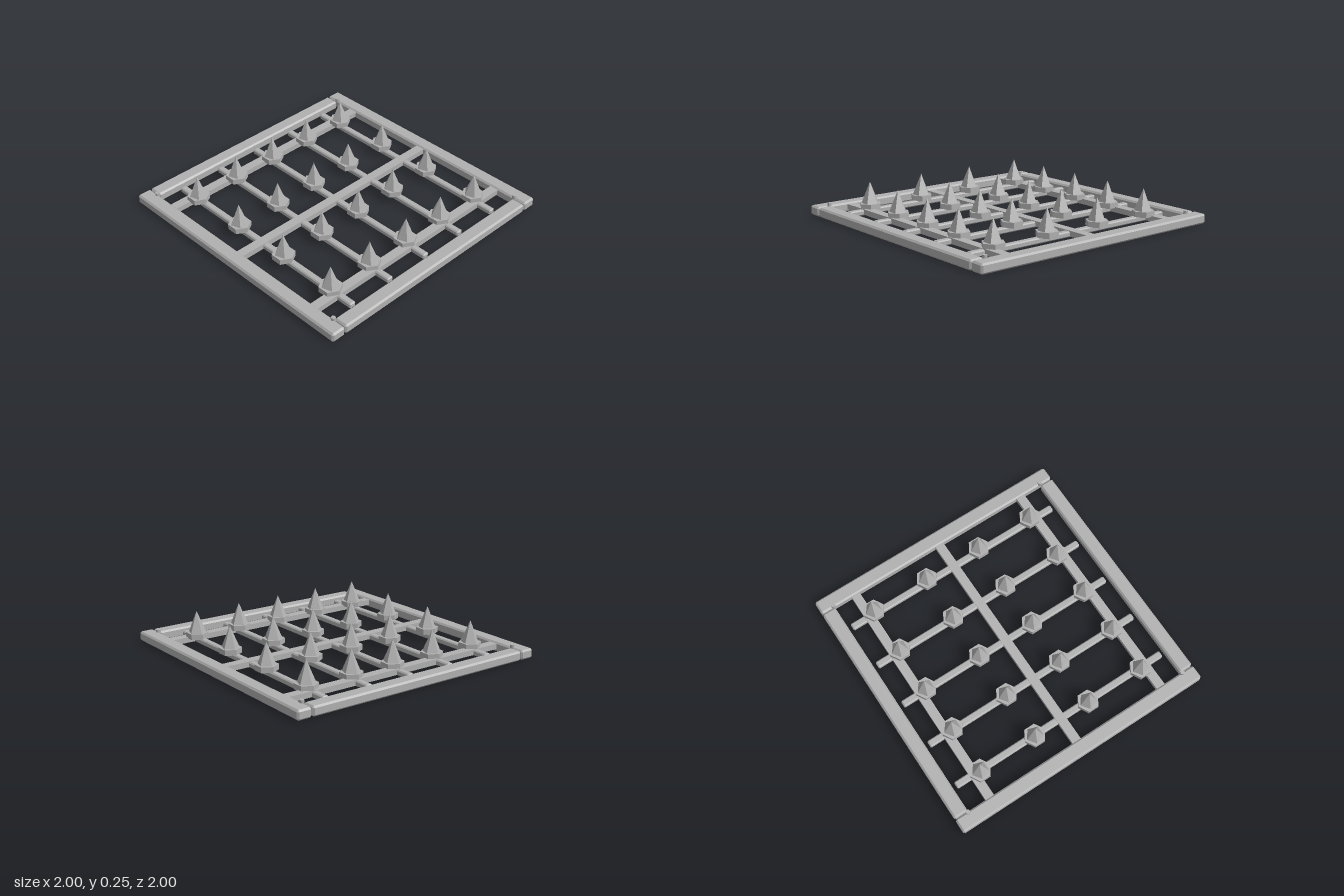
import * as THREE from 'three';
import { ConvexGeometry } from 'three/addons/geometries/ConvexGeometry.js';

const steel = new THREE.MeshStandardMaterial({ color: 0xb0b0b0, flatShading: true });
steel.name = 'grey steel';

// Box with every edge cut at 45 degrees
function chamferBox(w, h, d, c) {
  const points = [];
  for (const sx of [-1, 1]) for (const sy of [-1, 1]) for (const sz of [-1, 1]) {
    const x = w / 2, y = h / 2, z = d / 2;
    points.push(
      new THREE.Vector3(sx * x, sy * (y - c), sz * (z - c)),
      new THREE.Vector3(sx * (x - c), sy * y, sz * (z - c)),
      new THREE.Vector3(sx * (x - c), sy * (y - c), sz * z));
  }
  return new ConvexGeometry(points);
}

export function createModel() {
  const model = new THREE.Group();
  model.name = 'spikeGrate';

  function add(name, geometry, x, y, z, parent = model) {
    const mesh = new THREE.Mesh(geometry, steel);
    mesh.name = name;
    mesh.position.set(x, y, z);
    parent.add(mesh);
    return mesh;
  }

  // Outer frame: two long side rails with the end rails set between them
  const sideRail = chamferBox(0.107, 0.07, 2, 0.012);
  const endRail = chamferBox(1.774, 0.07, 0.105, 0.012);
  const bolt = new THREE.CylinderGeometry(0.016, 0.016, 0.03, 8);
  for (const s of [-1, 1]) {
    add(s > 0 ? 'leftRail' : 'rightRail', sideRail, s * 0.9465, 0.035, 0);
    add(s > 0 ? 'frontRail' : 'backRail', endRail, 0, 0.035, s * 0.9475);
    for (const t of [-1, 1]) add('cornerBolt', bolt, s * 0.9, 0.075, t * 0.9);
  }

  // Flat cross bars running from rail to rail
  const crossBar = new THREE.BoxGeometry(1.806, 0.04, 0.068);
  for (const z of [-0.72, 0, 0.72]) add('crossBar', crossBar, 0, 0.04, z);

  // Thin bars running front to back, just below the cross bar tops
  const longBar = chamferBox(0.05, 0.04, 1.736, 0.008);
  for (let i = -2; i <= 2; i++) add('longBar', longBar, i * 0.347, 0.035, 0);

  // Five-sided spikes on hexagonal plates
  const plate = new THREE.CylinderGeometry(0.081, 0.081, 0.04, 6);
  const cone = new THREE.ConeGeometry(0.066, 0.16, 5).rotateY(Math.PI);
  for (const x of [-0.705, -0.349, 0, 0.347, 0.705]) {
    for (const z of [-0.675, -0.225, 0.225, 0.675]) {
      const spike = new THREE.Group();
      spike.name = 'spike';
      spike.position.set(x, 0, z);
      model.add(spike);
      add('spikePlate', plate, 0, 0.072, 0, spike);
      add('spikePoint', cone, 0, 0.168, 0, spike);
    }
  }
  return model;
}
